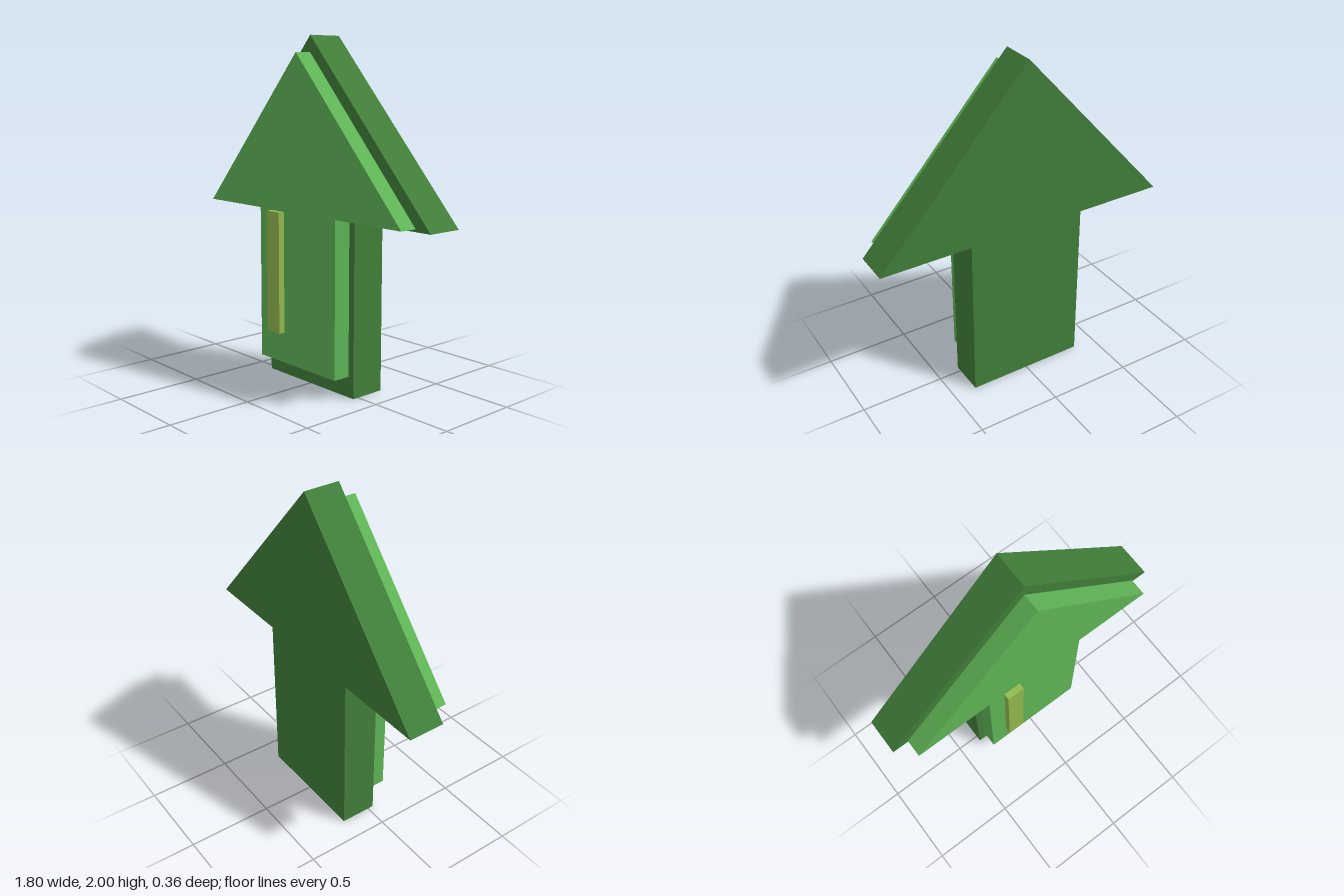
import * as THREE from 'three';

const darkGreen = new THREE.MeshStandardMaterial({ name: 'darkGreen', color: 0x417f39 });
const lightGreen = new THREE.MeshStandardMaterial({ name: 'lightGreen', color: 0x5fb556 });
const oliveGreen = new THREE.MeshStandardMaterial({ name: 'oliveGreen', color: 0x92b94e });

// Upright arrow plate, mirrored about x = 0, spanning zBack to zFront
function arrowPlate(name, { headHalf, stemHalf, bottom, shoulder, tip, zBack, zFront }, material) {
  const shape = new THREE.Shape([
    [-stemHalf, bottom], [stemHalf, bottom], [stemHalf, shoulder], [headHalf, shoulder],
    [0, tip], [-headHalf, shoulder], [-stemHalf, shoulder],
  ].map(([x, y]) => new THREE.Vector2(x, y)));
  const geometry = new THREE.ExtrudeGeometry(shape, { depth: zFront - zBack, bevelEnabled: false });
  geometry.translate(0, 0, zBack);
  const mesh = new THREE.Mesh(geometry, material);
  mesh.name = name;
  return mesh;
}

export function createModel() {
  const model = new THREE.Group();
  model.name = 'arrow';

  // Thick backing arrow
  model.add(arrowPlate('backPlate', {
    headHalf: 0.9, stemHalf: 0.36, bottom: 0, shoulder: 1, tip: 2, zBack: -0.18, zFront: 0.036,
  }, darkGreen));

  // Smaller raised arrow on the front
  model.add(arrowPlate('frontPlate', {
    headHalf: 0.8, stemHalf: 0.32, bottom: 0.12, shoulder: 1.015, tip: 1.905, zBack: 0.036, zFront: 0.142,
  }, lightGreen));

  // Raised highlight bar on the stem
  const bar = new THREE.Mesh(new THREE.BoxGeometry(0.108, 0.71, 0.038), oliveGreen);
  bar.name = 'highlightBar';
  bar.position.set(-0.162, 0.655, 0.161);
  model.add(bar);

  return model;
}
